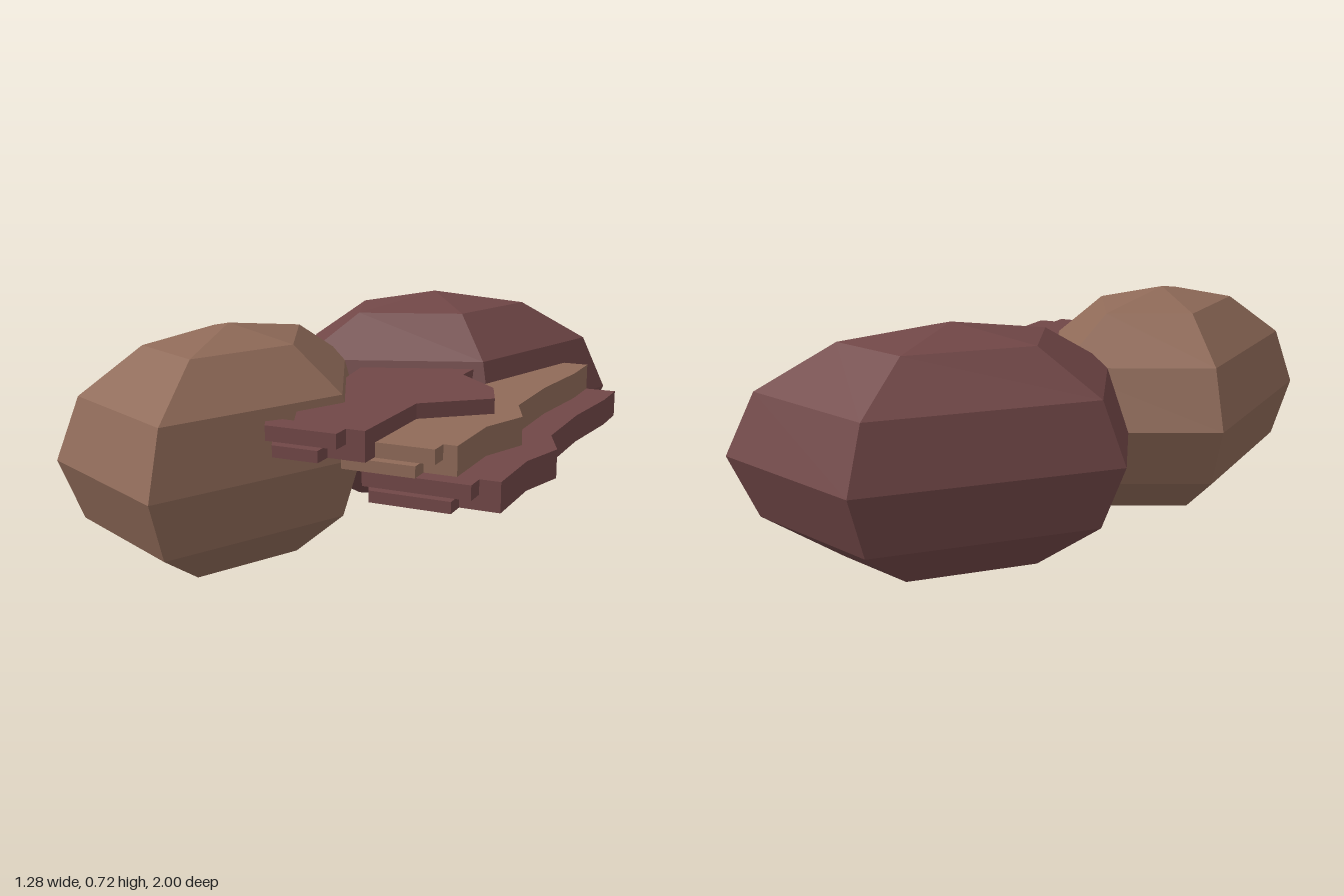
import * as THREE from 'three';

const brown = new THREE.MeshStandardMaterial({ color: 0x8f6a58, flatShading: true });
const maroon = new THREE.MeshStandardMaterial({ color: 0x714747, flatShading: true });

// Five-sided boulder: a coarse sphere skewed by ground-plane axes [x, z]
function boulder(name, material, [x, z], axisX, axisZ) {
  const geometry = new THREE.SphereGeometry(1, 5, 6);
  const skew = new THREE.Matrix4().makeBasis(
    new THREE.Vector3(axisX[0], 0, axisX[1]),
    new THREE.Vector3(0, 0.36, 0),
    new THREE.Vector3(axisZ[0], 0, axisZ[1])
  );
  geometry.applyMatrix4(skew);
  const mesh = new THREE.Mesh(geometry, material);
  mesh.name = name;
  mesh.position.set(x, 0.36, z);
  return mesh;
}

// Flat plate from an [x, z] outline, rising from y by height
function plate(name, material, outline, y, height) {
  const shape = new THREE.Shape(outline.map(([x, z]) => new THREE.Vector2(x, -z)));
  const geometry = new THREE.ExtrudeGeometry(shape, { depth: height, bevelEnabled: false });
  geometry.rotateX(-Math.PI / 2);
  const mesh = new THREE.Mesh(geometry, material);
  mesh.name = name;
  mesh.position.y = y;
  return mesh;
}

// Rock slab: body plus a front lip split into a wide upper and a narrow lower half
function slab(name, material, y, outline, lip) {
  const group = new THREE.Group();
  group.name = name;
  const { left, right, back, front } = lip;
  const lipOutline = (x0, x1) => [
    [x0 + 0.03, back - 0.02], [x0, back + 0.02], [x0 + 0.02, front],
    [x1, front], [x1, back - 0.02]
  ];
  group.add(
    plate('slabBody', material, outline, y, 0.085),
    plate('upperLip', material, lipOutline(left, right), y + 0.043, 0.042),
    plate('lowerLip', material, lipOutline(left + 0.02, right - 0.055), y, 0.033)
  );
  return group;
}

export function createModel() {
  const model = new THREE.Group();
  model.name = 'rockPile';

  // Boulders
  model.add(
    boulder('frontBoulder', brown, [-0.295, 0.385], [-0.426, 0], [0, -0.647]),
    boulder('backBoulder', maroon, [0, -0.48], [0, 0.52], [-0.5415, 0.205])
  );

  // Stepped slabs leaning out from between the boulders
  model.add(
    slab('lowerSlab', maroon, 0.304, [
      [0.605, -0.64], [0.605, -0.5], [0.58, -0.25], [0.58, 0.02], [0.64, 0.16], [0.6, 0.31],
      [0.6, 0.525], [0.29, 0.525], [0.25, 0.48], [0.22, 0.3], [0.22, -0.3], [0.3, -0.64]
    ], { left: 0.21, right: 0.54, back: 0.525, front: 0.585 }),
    slab('middleSlab', brown, 0.388, [
      [0.505, -0.64], [0.505, -0.48], [0.48, -0.23], [0.48, 0.03], [0.535, 0.16], [0.48, 0.31],
      [0.48, 0.53], [0.19, 0.53], [0.15, 0.47], [0.11, 0.3], [0.11, -0.3], [0.2, -0.64]
    ], { left: 0.13, right: 0.44, back: 0.53, front: 0.587 }),
    slab('upperSlab', maroon, 0.433, [
      [0.25, -0.5], [0.25, -0.11], [0.4, 0.03], [0.45, 0.16], [0.27, 0.31],
      [0.27, 0.648], [0.06, 0.648], [0.01, 0.54], [-0.03, 0.3], [-0.09, -0.08], [-0.05, -0.5]
    ], { left: -0.015, right: 0.215, back: 0.648, front: 0.705 })
  );
  return model;
}
